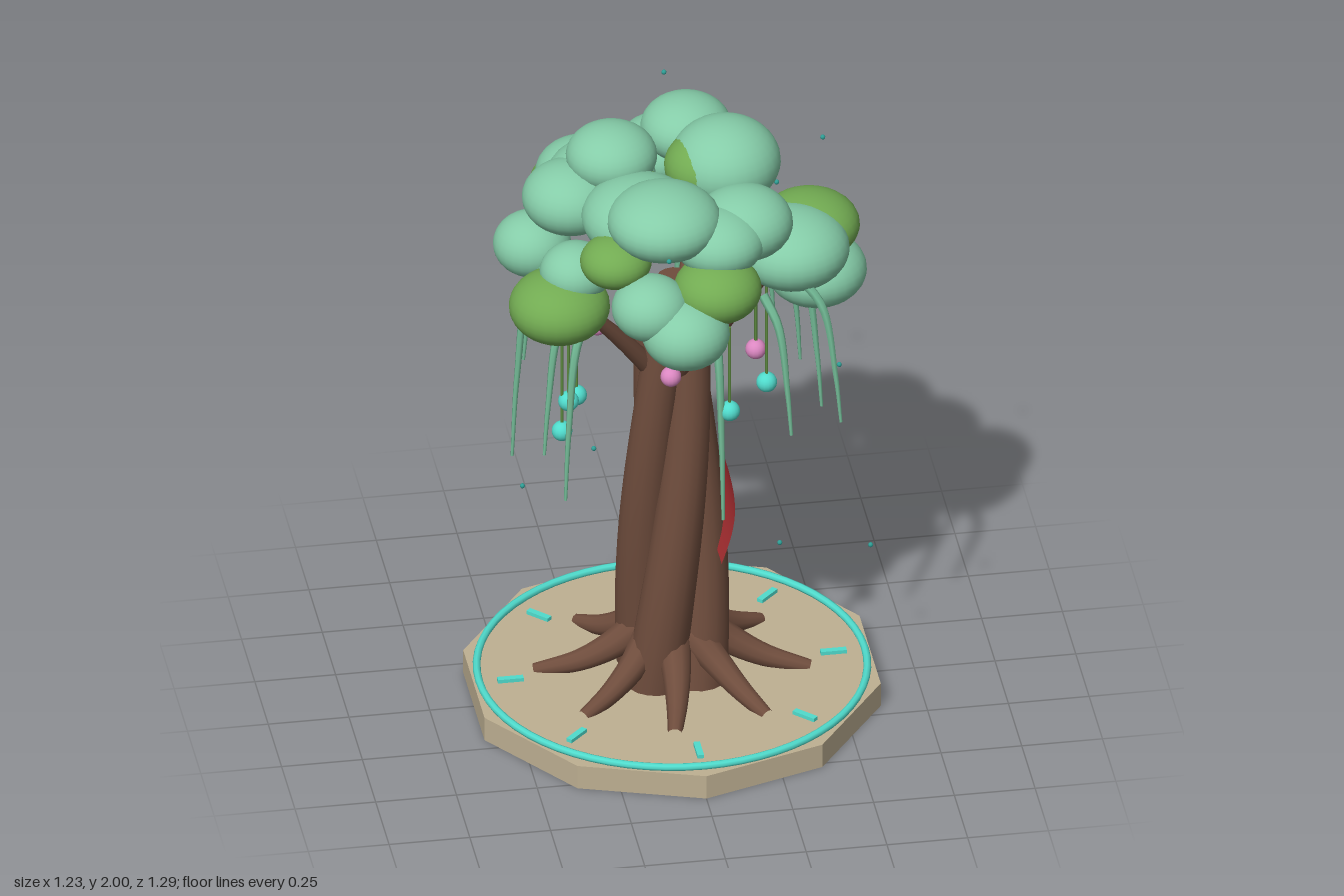
import * as THREE from 'three';

const mat = (name, color, extra = {}) => {
  const m = new THREE.MeshStandardMaterial({ color, ...extra });
  m.name = name;
  return m;
};
const V = (x, y, z) => new THREE.Vector3(x, y, z);
// angle 0 is the front (+z), growing towards +x
const polar = (a, r, y) => V(Math.sin(a) * r, y, Math.cos(a) * r);

// Tube along a smooth curve through the points, radius running from r0 to r1
function taperedTube(points, r0, r1, segments = 16, sides = 10) {
  const curve = new THREE.CatmullRomCurve3(points);
  const geo = new THREE.TubeGeometry(curve, segments, 1, sides);
  const pos = geo.attributes.position;
  const v = V(0, 0, 0);
  for (let i = 0; i <= segments; i++) {
    const c = curve.getPointAt(i / segments);
    const r = r0 + (r1 - r0) * i / segments;
    for (let j = 0; j <= sides; j++) {
      const k = i * (sides + 1) + j;
      v.fromBufferAttribute(pos, k).sub(c).multiplyScalar(r).add(c);
      pos.setXYZ(k, v.x, v.y, v.z);
    }
  }
  return geo;
}

export function createModel() {
  const stone = mat('stone', 0xbeb092, { flatShading: true });
  const glow = mat('turquoise', 0x50dccd);
  const bark = mat('bark', 0x6f4d3d);
  const leaf = mat('paleLeaf', 0x85cca8);
  const moss = mat('mossLeaf', 0x72ab52);
  const vineMat = mat('vine', 0x74bd98);
  const cord = mat('cord', 0x5d8a40);
  const pink = mat('pink', 0xdc88c2);
  const red = mat('redCloth', 0xac2f32, { side: THREE.DoubleSide });
  const moteMat = mat('mote', 0x2f9f96);

  const model = new THREE.Group();
  model.name = 'tree';
  const groups = {};
  const add = (group, name, geo, material, p = V(0, 0, 0)) => {
    if (!groups[group]) {
      groups[group] = new THREE.Group();
      groups[group].name = group;
      model.add(groups[group]);
    }
    const mesh = new THREE.Mesh(geo, material);
    mesh.name = name;
    mesh.position.copy(p);
    groups[group].add(mesh);
    return mesh;
  };

  // Ten-sided plinth with a ring and eight radial marks
  add('base', 'plinth', new THREE.CylinderGeometry(0.645, 0.645, 0.08, 10), stone, V(0, 0.04, 0));
  add('base', 'ring', new THREE.TorusGeometry(0.597, 0.012, 8, 64).rotateX(Math.PI / 2), glow, V(0, 0.088, 0));
  for (let i = 0; i < 8; i++) {
    const a = i * Math.PI / 4;
    add('base', 'mark', new THREE.BoxGeometry(0.02, 0.012, 0.08), glow, polar(a, 0.5, 0.086)).rotation.y = a;
  }

  // Trunk of four twisted strands
  for (let s = 0; s < 4; s++) {
    const start = Math.PI / 4 + s * Math.PI / 2;
    const pts = [];
    for (let i = 0; i <= 8; i++) {
      const t = i / 8;
      pts.push(polar(start + 2 * t, 0.095 - 0.045 * t * t, 0.05 + 1.4 * t));
    }
    add('trunk', 'strand', taperedTube(pts, 0.092, 0.056, 32, 16), bark);
    add('trunk', 'strandTop', new THREE.CircleGeometry(0.056, 16).rotateX(-Math.PI / 2), bark, pts[8]);
  }

  // Roots flowing out onto the plinth
  for (let i = 0; i < 8; i++) {
    const a = (i * 45 - 8) * Math.PI / 180;
    const reach = [0.38, 0.4, 0.42, 0.39][i % 4];
    add('roots', 'root', taperedTube([
      polar(a, 0.09, 0.24), polar(a + 0.05, 0.18, 0.17),
      polar(a + 0.03, 0.28, 0.115), polar(a, reach, 0.075),
    ], 0.056, 0.022), bark);
  }

  // Branches rising into the crown
  [[-0.4, 0.22], [0.08, 0.37], [0.37, 0.08], [0.15, -0.38], [-0.23, -0.36]].forEach(([x, z]) => {
    add('branches', 'branch', taperedTube([
      V(x * 0.15, 1.17, z * 0.15), V(x * 0.45, 1.34, z * 0.45), V(x * 0.88, 1.56, z * 0.88),
    ], 0.032, 0.016), bark);
  });

  // Leaf clumps: x, y, z, radius, half height
  const clump = material => ([x, y, z, r, h]) =>
    add('crown', 'leafClump', new THREE.SphereGeometry(1, 28, 18).scale(r, h, r), material, V(x, y, z));
  [
    [-0.175, 1.89, -0.075, 0.14, 0.1], [0.17, 1.865, -0.03, 0.17, 0.135],
    [0.08, 1.88, -0.22, 0.14, 0.1], [-0.12, 1.79, 0.13, 0.18, 0.12],
    [-0.065, 1.84, 0.25, 0.175, 0.11], [0.19, 1.78, 0.2, 0.15, 0.11],
    [0.1, 1.77, 0.28, 0.14, 0.1], [0.03, 1.71, -0.38, 0.14, 0.1],
    [0.19, 1.5, -0.43, 0.115, 0.085], [-0.4, 1.52, -0.2, 0.12, 0.1],
    [-0.305, 1.77, -0.05, 0.15, 0.11], [0.36, 1.6, 0.08, 0.175, 0.12],
    [0.45, 1.455, -0.02, 0.155, 0.11], [-0.03, 1.55, 0.44, 0.135, 0.11],
    [-0.13, 1.62, 0.39, 0.12, 0.1], [-0.33, 1.65, 0.19, 0.11, 0.09],
    [-0.23, 1.7, -0.29, 0.145, 0.11], [-0.07, 1.58, -0.43, 0.11, 0.09],
    [-0.2, 1.78, -0.12, 0.17, 0.12], [0.24, 1.78, -0.13, 0.1, 0.09],
    [0.13, 1.66, -0.36, 0.13, 0.1],
  ].forEach(clump(leaf));
  [
    [-0.385, 1.55, 0.22, 0.155, 0.11], [0.08, 1.655, 0.37, 0.135, 0.1],
    [0.43, 1.61, -0.03, 0.155, 0.1], [-0.23, 1.6, -0.38, 0.15, 0.11],
    [-0.22, 1.73, 0.28, 0.11, 0.08], [0.11, 1.86, -0.02, 0.13, 0.105],
    [-0.15, 1.8, 0.0, 0.12, 0.09],
  ].forEach(clump(moss));

  // Hanging vines, given by their tips
  [
    [0.08, 0.89, 0.475], [-0.39, 0.94, 0.365], [0.48, 1.07, 0.26], [-0.49, 0.87, -0.03],
    [0.08, 0.89, -0.355], [0.37, 1.1, -0.33], [0.43, 1.02, -0.2], [-0.44, 1.05, 0.27],
    [-0.16, 1.07, -0.475], [0.31, 1.1, 0.36], [0.45, 1.02, 0.08], [-0.42, 1.08, -0.24],
  ].forEach(([x, y, z]) => {
    add('vines', 'vine', taperedTube([
      V(x * 0.76, 1.56, z * 0.76), V(x * 0.89, 1.47, z * 0.89),
      V(x * 0.97, y * 0.4 + 0.8, z * 0.97), V(x, y, z),
    ], 0.016, 0.005, 16, 6), vineMat);
  });

  // Hanging orbs on cords
  const orb = material => ([x, y, z]) => {
    add('orbs', 'cord', new THREE.CylinderGeometry(0.005, 0.005, 1.56 - y, 6), cord, V(x, (1.56 + y) / 2, z));
    add('orbs', 'orb', new THREE.SphereGeometry(0.032, 16, 12), material, V(x, y, z));
  };
  [
    [-0.37, 1.255, 0.3], [-0.34, 1.255, 0.27], [0.105, 1.26, 0.445],
    [-0.39, 1.15, 0.3], [0.265, 1.18, 0.17], [0.255, 1.31, -0.29],
  ].forEach(orb(glow));
  [[-0.185, 1.155, -0.28], [0.27, 1.155, -0.065], [-0.05, 1.298, 0.28]].forEach(orb(pink));

  // Cloth draped on the left of the trunk, bowed outwards
  const cloth = new THREE.PlaneGeometry(0.185, 0.335, 8, 16).rotateY(Math.PI / 2);
  const cp = cloth.attributes.position;
  for (let i = 0; i < cp.count; i++) {
    const t = cp.getY(i) / 0.335 + 0.5;
    cp.setX(i, 0.127 + 0.021 * t + 0.03 * Math.sin(Math.PI * t));
  }
  cloth.computeVertexNormals();
  add('cloth', 'redCloth', cloth, red, V(0, 0.703, 0.07));

  // Floating motes
  [
    [0.48, 1.885, -0.08], [-0.1, 1.88, 0.55], [-0.31, 1.145, 0.41], [-0.435, 0.67, -0.17],
    [0.255, 0.79, 0.475], [0.61, 0.475, 0.03], [0.08, 1.82, -0.635], [0.1, 0.77, -0.435],
    [0.02, 0.32, -0.415], [-0.44, 1.39, 0.05], [0.45, 1.37, 0.41], [0.4, 1.5, -0.46],
  ].forEach(p => add('motes', 'mote', new THREE.SphereGeometry(0.008, 8, 6), moteMat, V(...p)));

  return model;
}
